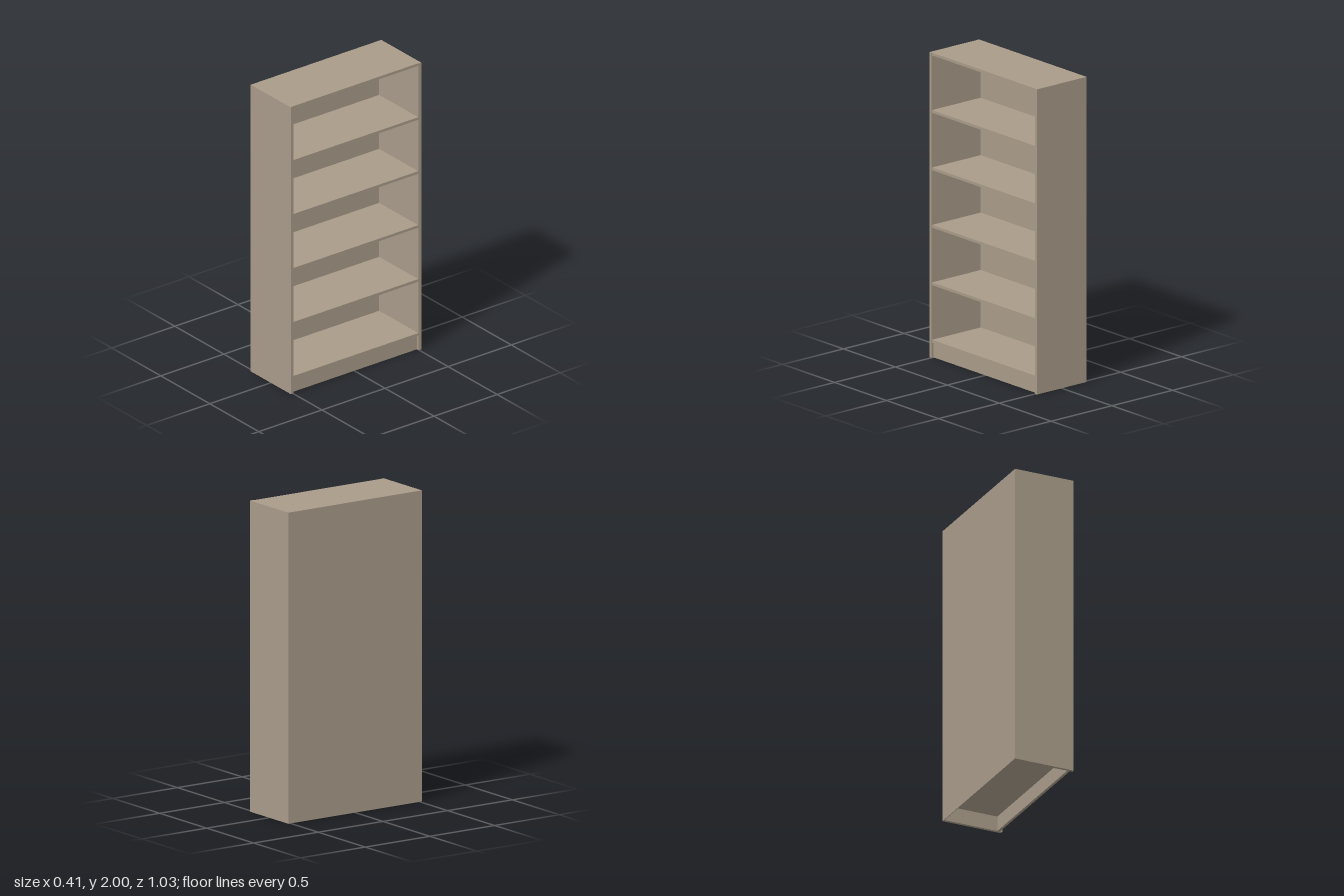
import * as THREE from 'three';

// Open bookcase: shelves face +x, side panels close both z ends.
export function createModel() {
  const group = new THREE.Group();
  const material = new THREE.MeshStandardMaterial({ color: 0xa89b89 });

  // Board given by its min and max along each axis
  function board(name, [x0, x1], [y0, y1], [z0, z1]) {
    const mesh = new THREE.Mesh(new THREE.BoxGeometry(x1 - x0, y1 - y0, z1 - z0), material);
    mesh.position.set((x0 + x1) / 2, (y0 + y1) / 2, (z0 + z1) / 2);
    mesh.name = name;
    group.add(mesh);
  }

  const depth = 0.204, halfWidth = 0.517, inner = 0.497;
  const backFace = -0.2, shelfFront = 0.2, thickness = 0.018;
  const across = [-inner, inner];

  // Side panels, standing slightly proud of the shelves
  board('leftSidePanel', [backFace, depth], [0, 2], [inner, halfWidth]);
  board('rightSidePanel', [backFace, depth], [0, 2], [-halfWidth, -inner]);

  // Thin back panel down to the floor
  board('backPanel', [-depth, backFace], [0, 2], [-halfWidth, halfWidth]);

  // Bottom shelf, four middle shelves and the top, evenly spaced
  const names = ['bottomShelf', 'shelf1', 'shelf2', 'shelf3', 'shelf4', 'topPanel'];
  const firstY = 0.1, step = (2 - thickness - firstY) / 5;
  names.forEach((name, i) => {
    const y = firstY + i * step;
    board(name, [backFace, shelfFront], [y, y + thickness], across);
  });

  // Recessed kick board under the bottom shelf
  board('kickBoard', [0.169, 0.187], [0, firstY], across);

  return group;
}
